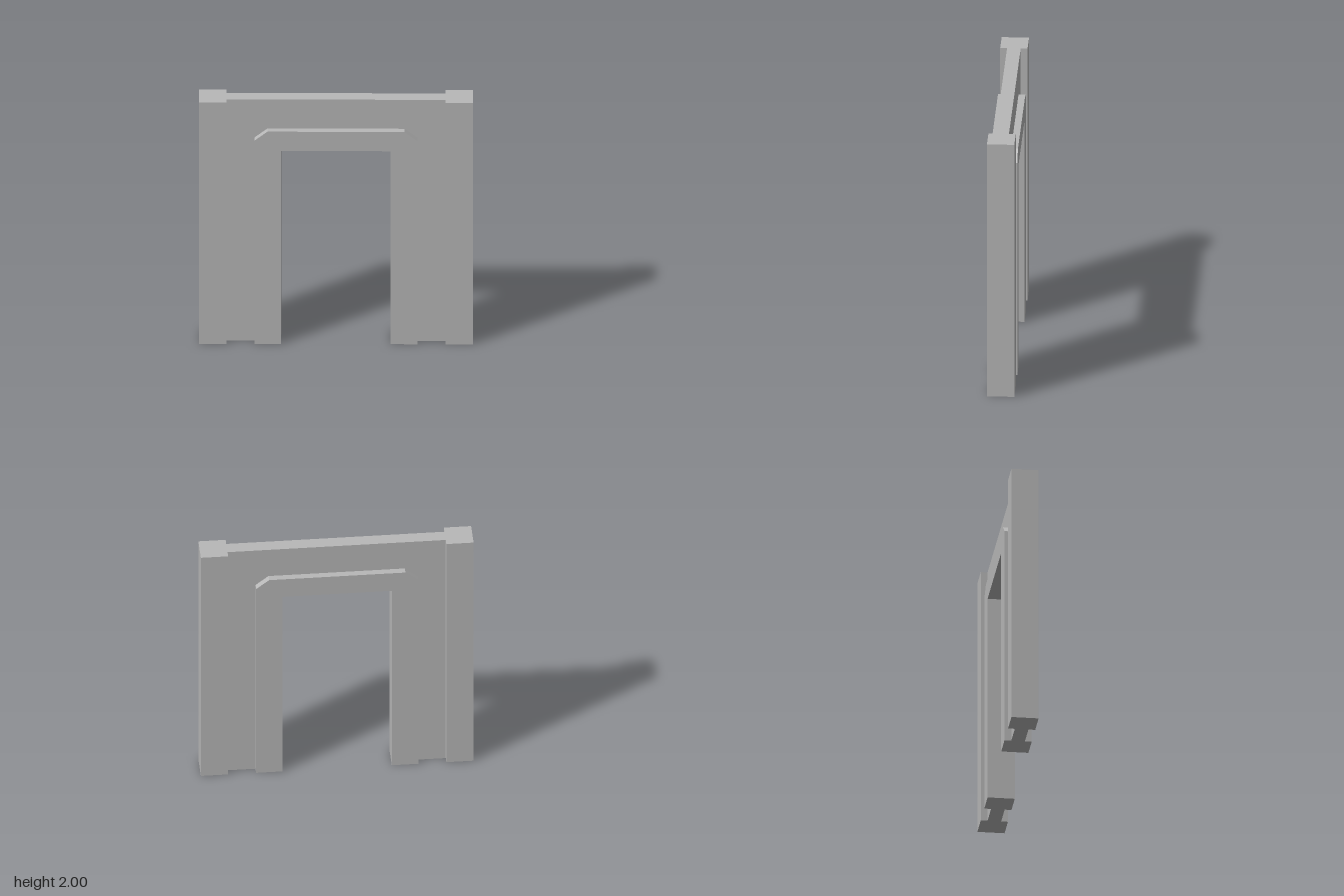
import * as THREE from 'three';

// Closed arch shape: outer outline up and over, then back along the opening
function archShape(outer, opening) {
  const points = [...outer, ...opening.slice().reverse()];
  return new THREE.Shape(points.map(([x, y]) => new THREE.Vector2(x, y)));
}

// Extrude a shape evenly about z = 0
function slab(name, shape, depth, material) {
  const geometry = new THREE.ExtrudeGeometry(shape, { depth, bevelEnabled: false });
  geometry.translate(0, 0, -depth / 2);
  const mesh = new THREE.Mesh(geometry, material);
  mesh.name = name;
  return mesh;
}

export function createModel() {
  const model = new THREE.Group();
  model.name = 'doorwayWall';
  const stone = new THREE.MeshStandardMaterial({ color: 0xb8b8b8 });
  stone.name = 'grey stone';

  // Outlines run from the bottom right, over the top, to the bottom left
  const wallEdge = [[0.8, 0], [0.8, 2], [-0.8, 2], [-0.8, 0]];
  const frameEdge = [
    [0.595, 0], [0.595, 1.685], [0.5, 1.76],
    [-0.5, 1.76], [-0.595, 1.685], [-0.595, 0],
  ];
  const opening = [[0.4, 0], [0.4, 1.6], [-0.4, 1.6], [-0.4, 0]];

  // Thin recessed wall and thicker door frame with chamfered corners
  model.add(slab('wallPanel', archShape(wallEdge, frameEdge), 0.1, stone));
  model.add(slab('doorFrame', archShape(frameEdge, opening), 0.2, stone));

  // Full-height end posts
  for (const side of [-1, 1]) {
    const post = new THREE.Mesh(new THREE.BoxGeometry(0.2, 2, 0.2), stone);
    post.name = side > 0 ? 'leftPost' : 'rightPost';
    post.position.set(side * 0.9, 1, 0);
    model.add(post);
  }
  return model;
}
